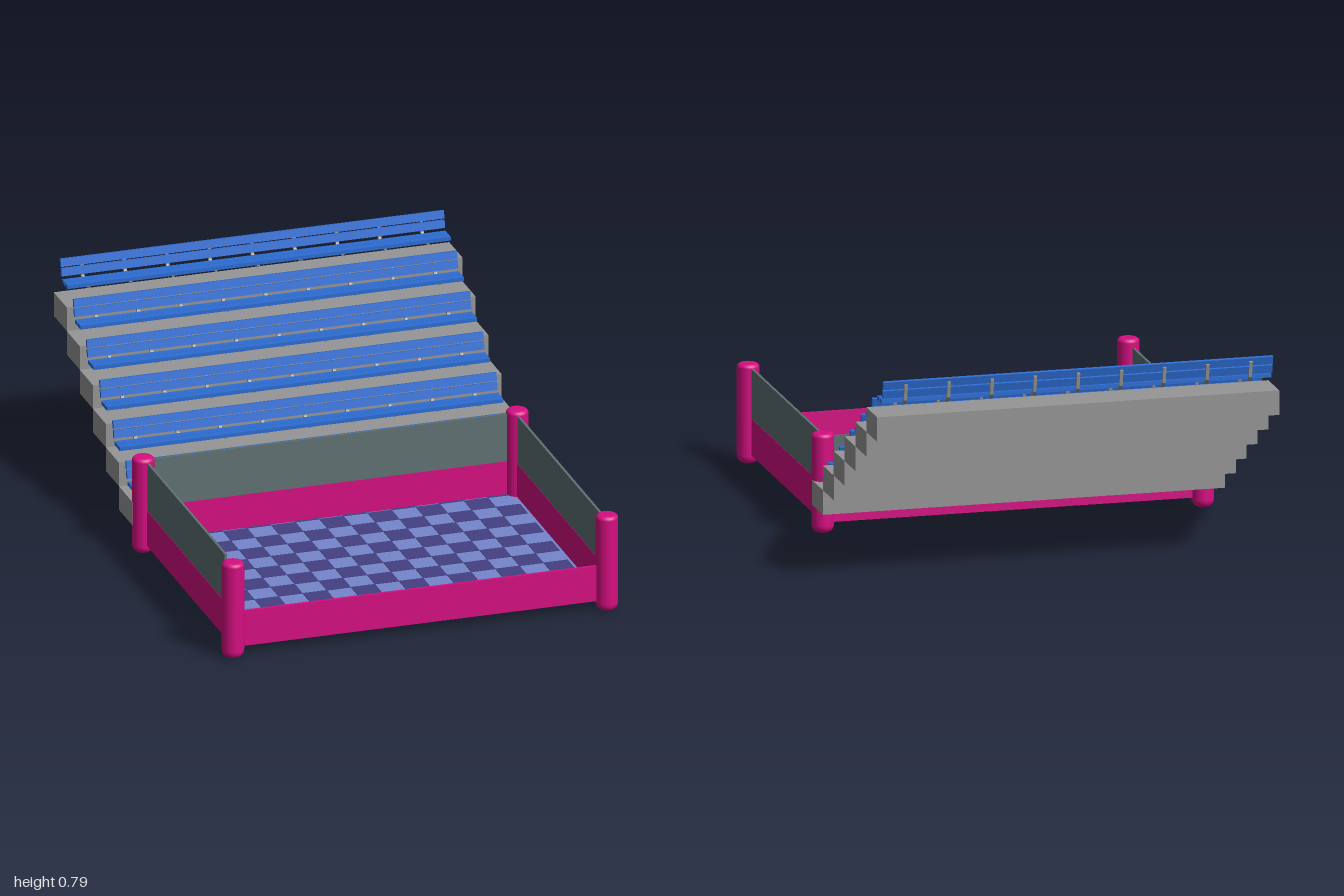
import * as THREE from 'three';

const mat = (name, color) => {
  const m = new THREE.MeshStandardMaterial({ color });
  m.name = name;
  return m;
};

export function createModel() {
  const root = new THREE.Group();
  root.name = 'rinkWithBleachers';
  const pink = mat('magentaPaint', 0xd60e82);
  const grey = mat('slatePanel', 0x607173);
  const concrete = mat('concrete', 0x969696);
  const blue = mat('bluePlank', 0x2d6dd4);
  const steel = mat('bracketSteel', 0x9c9a94);
  const tileLight = mat('lightTile', 0x7486cc);
  const tileDark = mat('darkTile', 0x434082);
  tileLight.side = THREE.DoubleSide;

  const add = (parent, name, geo, material, x = 0, y = 0, z = 0) => {
    const mesh = new THREE.Mesh(geo, material);
    mesh.name = name;
    mesh.position.set(x, y, z);
    parent.add(mesh);
    return mesh;
  };
  const box = (parent, name, material, w, h, d, x, y, z) =>
    add(parent, name, new THREE.BoxGeometry(w, h, d), material, x, y, z);

  // Arena bounds
  const X = 0.705, ZF = 0.957, ZB = -0.082;
  const midZ = (ZF + ZB) / 2, lenZ = ZF - ZB, T = 0.012;

  // Corner posts with rounded ends
  const R = 0.041, H = 0.372;
  const profile = [new THREE.Vector2(0, 0)];
  for (let i = 0; i <= 6; i++) {
    const a = (i / 6) * Math.PI / 2;
    profile.push(new THREE.Vector2(R - 0.024 + 0.024 * Math.sin(a), 0.03 - 0.03 * Math.cos(a)));
  }
  for (let i = 0; i <= 6; i++) {
    const a = (i / 6) * Math.PI / 2;
    profile.push(new THREE.Vector2(R - 0.018 + 0.018 * Math.cos(a), H - 0.015 + 0.015 * Math.sin(a)));
  }
  profile.push(new THREE.Vector2(0, H));
  const postGeo = new THREE.LatheGeometry(profile, 24);
  for (const x of [-0.712, 0.712]) for (const z of [ZF, ZB]) add(root, 'cornerPost', postGeo, pink, x, 0, z);

  // Low boards on all four sides
  const y0 = 0.035, y1 = 0.172, y2 = 0.357;
  for (const z of [ZF - 0.004, ZB]) box(root, 'endBoard', pink, 2 * X, y1 - y0, T, 0, (y0 + y1) / 2, z);
  for (const x of [-X, X]) box(root, 'sideBoard', pink, T, y1 - y0, lenZ, x, (y0 + y1) / 2, midZ);

  // Upper panels on the back and both sides, the front stays open
  box(root, 'backPanel', grey, 2 * X, y2 - y1, T * 0.8, 0, (y1 + y2) / 2, ZB);
  box(root, 'leftPanel', grey, T * 0.8, y2 - y1, lenZ, X, (y1 + y2) / 2, midZ);
  // Right panel is cut back near the front post
  const cut = new THREE.Shape([
    [-ZB, y1], [-ZB, y2], [-0.85, y2], [-0.85, 0.225], [-0.89, 0.195], [-ZF, 0.19], [-ZF, y1],
  ].map(([u, v]) => new THREE.Vector2(u, v)));
  const cutGeo = new THREE.ExtrudeGeometry(cut, { depth: T * 0.8, bevelEnabled: false });
  cutGeo.rotateY(Math.PI / 2);
  add(root, 'rightPanel', cutGeo, grey, -X - T * 0.4, 0, 0);

  // Chequered floor
  const floorY = 0.042;
  const floorGeo = new THREE.PlaneGeometry(2 * X, lenZ).rotateX(-Math.PI / 2);
  add(root, 'floor', floorGeo, tileLight, 0, floorY, midZ);
  const tiles = new THREE.Group();
  tiles.name = 'darkTiles';
  root.add(tiles);
  const S = 0.0917, frontEdge = 0.942;
  for (let row = 0; row < 12; row++) {
    const zb = Math.max(frontEdge - (row + 1) * S, ZB), zf = frontEdge - row * S;
    for (let col = 0; col < 15; col++) {
      if ((row + col) % 2 === 0) continue;
      box(tiles, 'darkTile', tileDark, S, 0.004, zf - zb, (col - 7) * S, floorY, (zf + zb) / 2);
    }
  }

  // One bench: two seat planks, two leaning back planks and nine brackets
  const makeBench = () => {
    const bench = new THREE.Group();
    bench.name = 'bench';
    const L = 1.46;
    for (const z of [0.079, 0.046]) box(bench, 'seatPlank', blue, L, 0.014, 0.03, 0, 0.008, z);
    for (const [y, z] of [[0.038, 0.02], [0.072, 0.012]]) {
      box(bench, 'backPlank', blue, L, 0.03, 0.012, 0, y, z).rotation.x = -0.22;
    }
    const s = new THREE.Shape([
      [-0.085, 0.001], [-0.085, -0.007], [-0.03, -0.007], [-0.01, 0.012], [0.001, 0.072],
      [-0.006, 0.074], [-0.018, 0.016], [-0.034, 0.001],
    ].map(([u, v]) => new THREE.Vector2(u, v)));
    const geo = new THREE.ExtrudeGeometry(s, { depth: 0.012, bevelEnabled: false });
    geo.rotateY(Math.PI / 2);
    for (let i = -4; i <= 4; i++) add(bench, 'bracket', geo, steel, i * 0.1615 - 0.006, 0, 0);
    return bench;
  };

  // Stepped stand with a bench on every tier
  for (let i = 0; i < 6; i++) {
    box(root, 'standStep', concrete, 1.506, 0.092, 0.152, 0, 0.15 + i * 0.0922, -0.161 - i * 0.1512);
    const bench = makeBench();
    bench.position.set(0, 0.208 + i * 0.0984, -0.239 - i * 0.152);
    root.add(bench);
  }
  return root;
}
